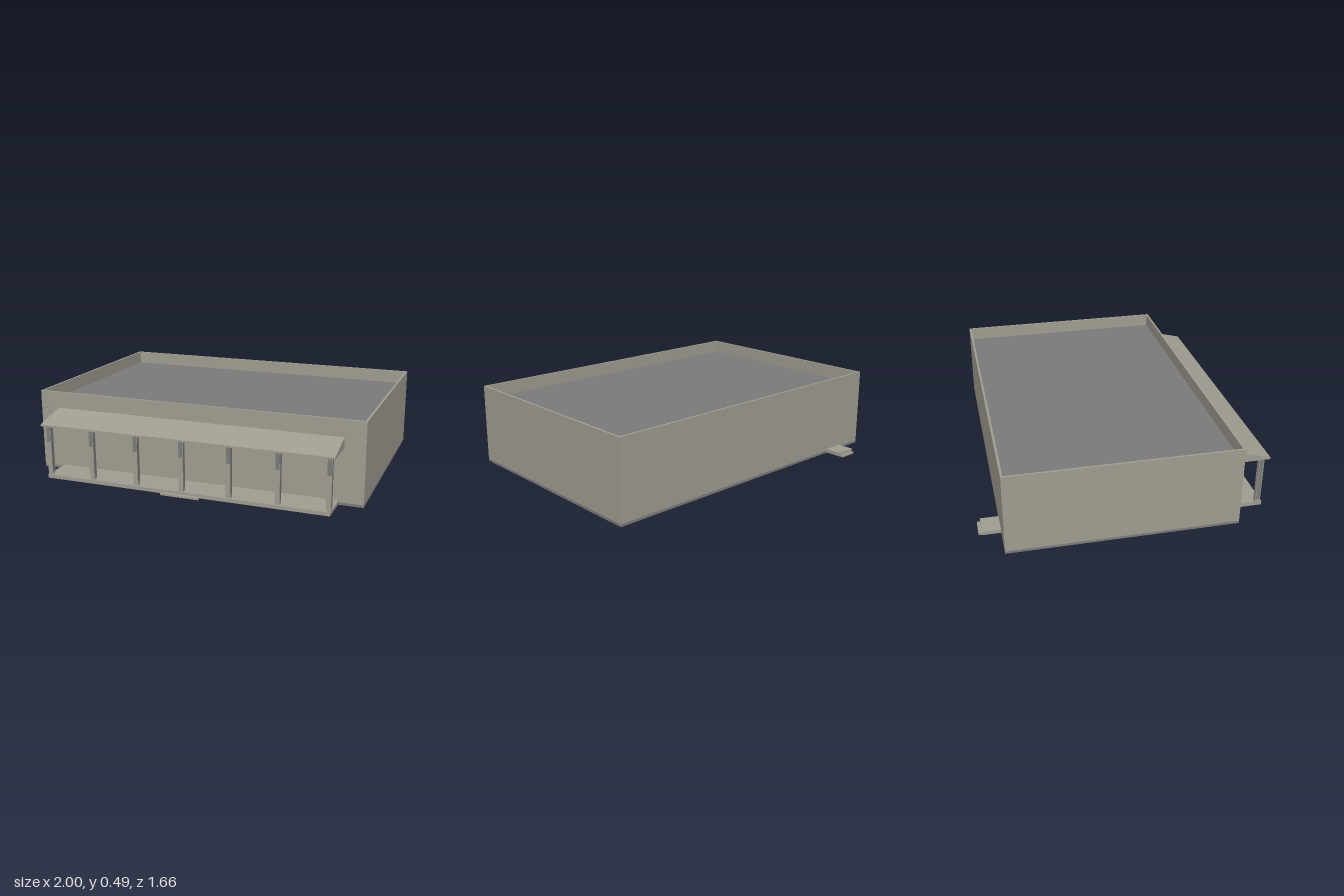
import * as THREE from 'three';

export function createModel() {
  const model = new THREE.Group();
  const stone = new THREE.MeshStandardMaterial({ color: 0xa09d91 });
  stone.name = 'warm stone';
  const grey = new THREE.MeshStandardMaterial({ color: 0x7b7b7b });
  grey.name = 'roofing grey';

  const add = (name, geometry, material, parent = model) => {
    const mesh = new THREE.Mesh(geometry, material);
    mesh.name = name;
    parent.add(mesh);
    return mesh;
  };
  // Box given by its limits on each axis
  const box = (name, [x0, x1], [y0, y1], [z0, z1], material, parent) => {
    const mesh = add(name, new THREE.BoxGeometry(x1 - x0, y1 - y0, z1 - z0), material, parent);
    mesh.position.set((x0 + x1) / 2, (y0 + y1) / 2, (z0 + z1) / 2);
    return mesh;
  };
  // Profile of [z, y] points swept along x
  const sweep = (name, points, x0, x1, material, parent) => {
    const shape = new THREE.Shape(points.map(([z, y]) => new THREE.Vector2(-z, y)));
    const geometry = new THREE.ExtrudeGeometry(shape, { depth: x1 - x0, bevelEnabled: false });
    geometry.rotateY(Math.PI / 2).translate(x0, 0, 0);
    return add(name, geometry, material, parent);
  };

  const back = -0.705, front = 0.62, top = 0.485, wall = 0.013, foot = 0.015;

  // Outer walls, open underneath and rising to a parapet
  const walls = new THREE.Group();
  walls.name = 'walls';
  model.add(walls);
  box('backWall', [-1, 1], [foot, top], [back, back + wall], stone, walls);
  box('rightWall', [-1, -1 + wall], [foot, top], [back + wall, front - wall], stone, walls);
  box('leftWall', [1 - wall, 1], [foot, top], [back + wall, front - wall], stone, walls);

  // Front wall with a long slot behind the canopy
  const rect = (Type, x0, x1, y0, y1) => new Type([[x0, y0], [x1, y0], [x1, y1], [x0, y1]]
    .map(([x, y]) => new THREE.Vector2(x, y)));
  const face = rect(THREE.Shape, -1, 1, foot, top);
  face.holes.push(rect(THREE.Path, -0.87, 0.87, 0.329, 0.376));
  const frontWall = new THREE.ExtrudeGeometry(face, { depth: wall, bevelEnabled: false });
  add('frontWall', frontWall.translate(0, 0, front - wall), stone, walls);

  // Grey plinth under the walls
  const plinth = new THREE.Group();
  plinth.name = 'plinth';
  model.add(plinth);
  for (const z of [back, front - wall]) box('plinthLong', [-1, 1], [0, foot], [z, z + wall], grey, plinth);
  for (const x of [-1, 1 - wall]) {
    box('plinthSide', [x, x + wall], [0, foot], [back + wall, front - wall], grey, plinth);
  }

  // Flat roof sunk behind the parapet
  box('roof', [-1 + wall, 1 - wall], [0.398, 0.405], [back + wall, front - wall], grey);

  // Hollow sloping canopy with closed ends
  const canopy = new THREE.Group();
  canopy.name = 'canopy';
  model.add(canopy);
  sweep('canopyShell', [
    [front, 0.325], [0.825, 0.325], [0.825, 0.336], [front, 0.387],
    [front, 0.379], [0.817, 0.331], [front, 0.329],
  ], -0.87, 0.87, stone, canopy);
  for (const x of [-0.88, 0.87]) {
    sweep('canopyEnd', [[front, 0.325], [0.825, 0.325], [0.825, 0.336], [front, 0.387]],
      x, x + 0.01, stone, canopy);
  }

  // Porch slab and front step
  box('porchSlab', [-0.86, 0.86], [0.004, 0.026], [front, 0.81], stone);
  box('frontStep', [-0.115, 0.115], [0, 0.012], [0.81, 0.83], stone);

  // Row of seven posts with grey side panels
  for (let i = 0; i < 7; i++) {
    const x = (i - 3) * 0.2825;
    const post = new THREE.Group();
    post.name = 'post';
    model.add(post);
    box('postShaft', [x - 0.0135, x + 0.0135], [0.026, 0.325], [0.77, 0.8], stone, post);
    for (const s of [-1, 1]) {
      const panel = box('postSidePanel', [-0.001, 0.001], [0.045, 0.325], [0.774, 0.796], grey, post);
      panel.position.x = x + s * 0.0135;
    }
    box('postFrontPanel', [x - 0.0115, x + 0.0115], [0.225, 0.325], [0.799, 0.801], grey, post);
  }

  // Back door landing and step
  box('backLanding', [-0.815, -0.685], [0.004, 0.026], [-0.81, back], stone);
  box('backStep', [-0.805, -0.695], [0, 0.012], [-0.83, -0.79], stone);

  return model;
}
